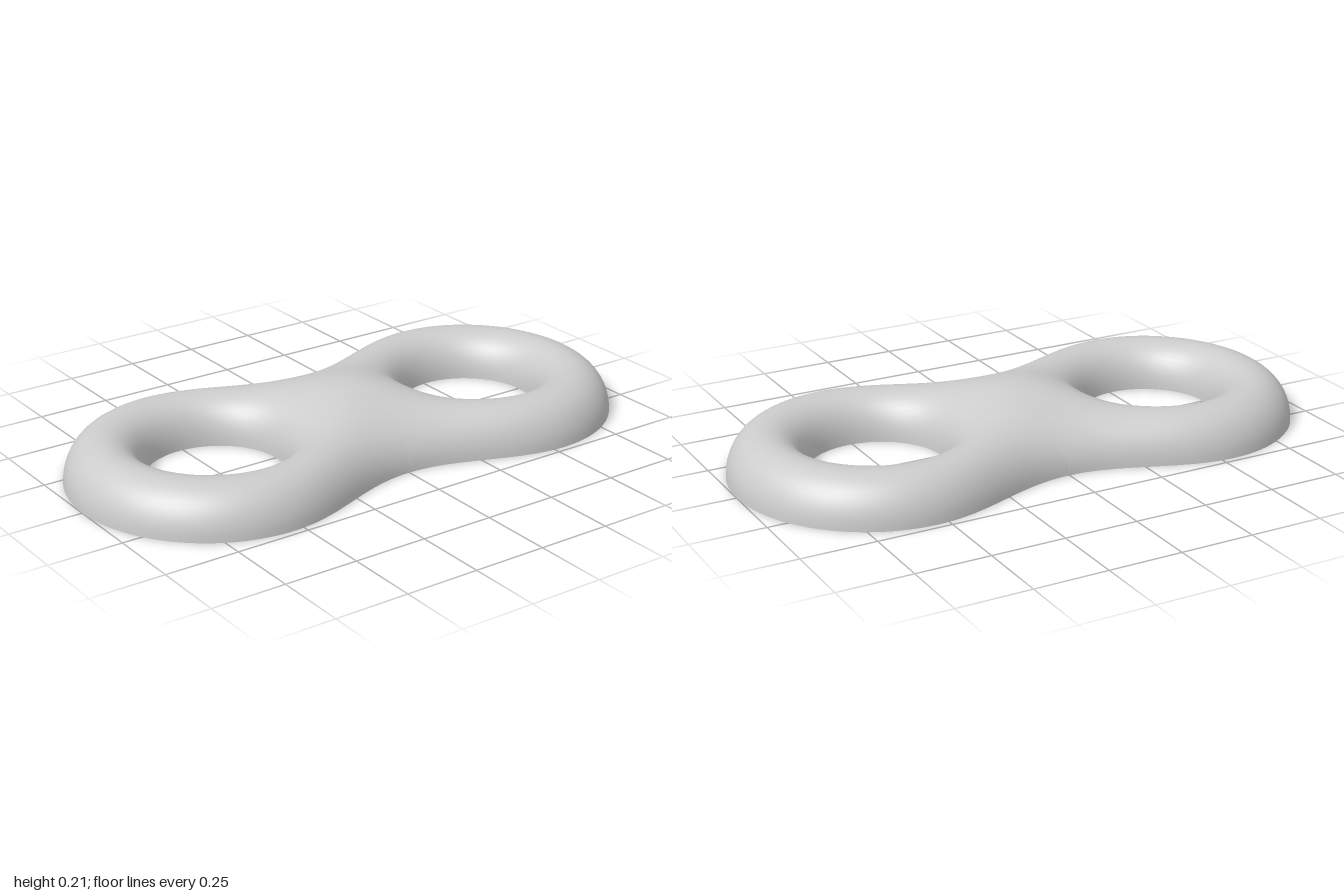
import * as THREE from 'three';
import { mergeVertices } from 'three/addons/utils/BufferGeometryUtils.js';

const HOLE_X = 0.515, HOLE_R = 0.23;   // the hole in each ring
const LOBE_X = 0.54, LOBE_RX = 0.46, LOBE_RZ = 0.48;
const NECK = 0.345;                    // half depth of the bridge at x = 0
const ROWS = 22;

// Rear outline of one half, from the neck to the outer tip
function rearOutline() {
  const pts = [];
  for (let i = 0; i < 20; i++) {
    const u = i / 20;
    pts.push(new THREE.Vector2(u * LOBE_X, -(NECK + (LOBE_RZ - NECK) * (1 - Math.cos(Math.PI * u)) / 2)));
  }
  for (let i = 0; i <= 30; i++) {
    const a = (i / 30) * Math.PI / 2;
    pts.push(new THREE.Vector2(LOBE_X + LOBE_RX * Math.sin(a), -LOBE_RZ * Math.cos(a)));
  }
  return pts;
}

const rear = rearOutline();
const front = rear.slice(0, -1).reverse().map((p) => new THREE.Vector2(p.x, -p.y));
const outline = [...rear, ...front];

// Distance from a point to the outer outline
function outlineDistance(x, z) {
  let best = Infinity;
  for (let i = 0; i < outline.length - 1; i++) {
    const a = outline[i], b = outline[i + 1];
    const dx = b.x - a.x, dz = b.y - a.y;
    const t = THREE.MathUtils.clamp(((x - a.x) * dx + (z - a.y) * dz) / (dx * dx + dz * dz), 0, 1);
    best = Math.min(best, Math.hypot(x - a.x - t * dx, z - a.y - t * dz));
  }
  return best;
}

// Elliptical section between hole rim and outline, swelling over the bridge
function height(x, z) {
  const near = Math.max(Math.hypot(x - HOLE_X, z) - HOLE_R, 0);
  const far = Math.hypot(x + HOLE_X, z) - HOLE_R;
  const inner = near < 1e-5 ? 0 : Math.pow(near ** -4 + far ** -4, -0.25);
  const outer = 0.22 * Math.sin(Math.min(outlineDistance(x, z) / 0.22, Math.PI / 2));
  if (inner < 1e-5 || outer < 1e-5) return 0;
  const crest = 0.15 + 0.057 * Math.exp(-((x / 0.22) ** 2) - (z / 0.23) ** 2);
  return crest * 2 * Math.sqrt(inner * outer) / (inner + outer);
}

// Shell with two holes, open underneath
function shellGeometry() {
  // closed loop round one half: the centre line, then the outline
  const loop = [];
  for (let i = 0; i < 32; i++) {
    loop.push(new THREE.Vector2(0, NECK * Math.cos((i / 32) * Math.PI)));
  }
  loop.push(...outline.slice(0, -1));

  const positions = [], indices = [];
  for (const side of [1, -1]) {
    const base = positions.length / 3;
    for (const p of loop) {
      const a = Math.atan2(p.y, p.x - HOLE_X);
      const hx = HOLE_X + HOLE_R * Math.cos(a), hz = HOLE_R * Math.sin(a);
      for (let j = 0; j <= ROWS; j++) {
        const t = (1 - Math.cos(Math.PI * j / ROWS)) / 2;
        const x = hx + (p.x - hx) * t, z = hz + (p.y - hz) * t;
        positions.push(side * x, height(x, z), z);
      }
    }
    for (let i = 0; i < loop.length; i++) {
      const r0 = base + i * (ROWS + 1);
      const r1 = base + ((i + 1) % loop.length) * (ROWS + 1);
      for (let j = 0; j < ROWS; j++) {
        const a = r0 + j, b = a + 1, d = r1 + j, c = d + 1;
        if (side > 0) indices.push(a, c, b, a, d, c);
        else indices.push(a, b, c, a, c, d);
      }
    }
  }
  const geo = new THREE.BufferGeometry();
  geo.setAttribute('position', new THREE.Float32BufferAttribute(positions, 3));
  geo.setIndex(indices);
  const welded = mergeVertices(geo, 1e-4);
  welded.computeVertexNormals();
  return welded;
}

export function createModel() {
  const group = new THREE.Group();
  group.name = 'doubleRingShell';
  const material = new THREE.MeshStandardMaterial({ color: 0xcccccc, side: THREE.DoubleSide });
  const shell = new THREE.Mesh(shellGeometry(), material);
  shell.name = 'shell';
  group.add(shell);
  return group;
}
